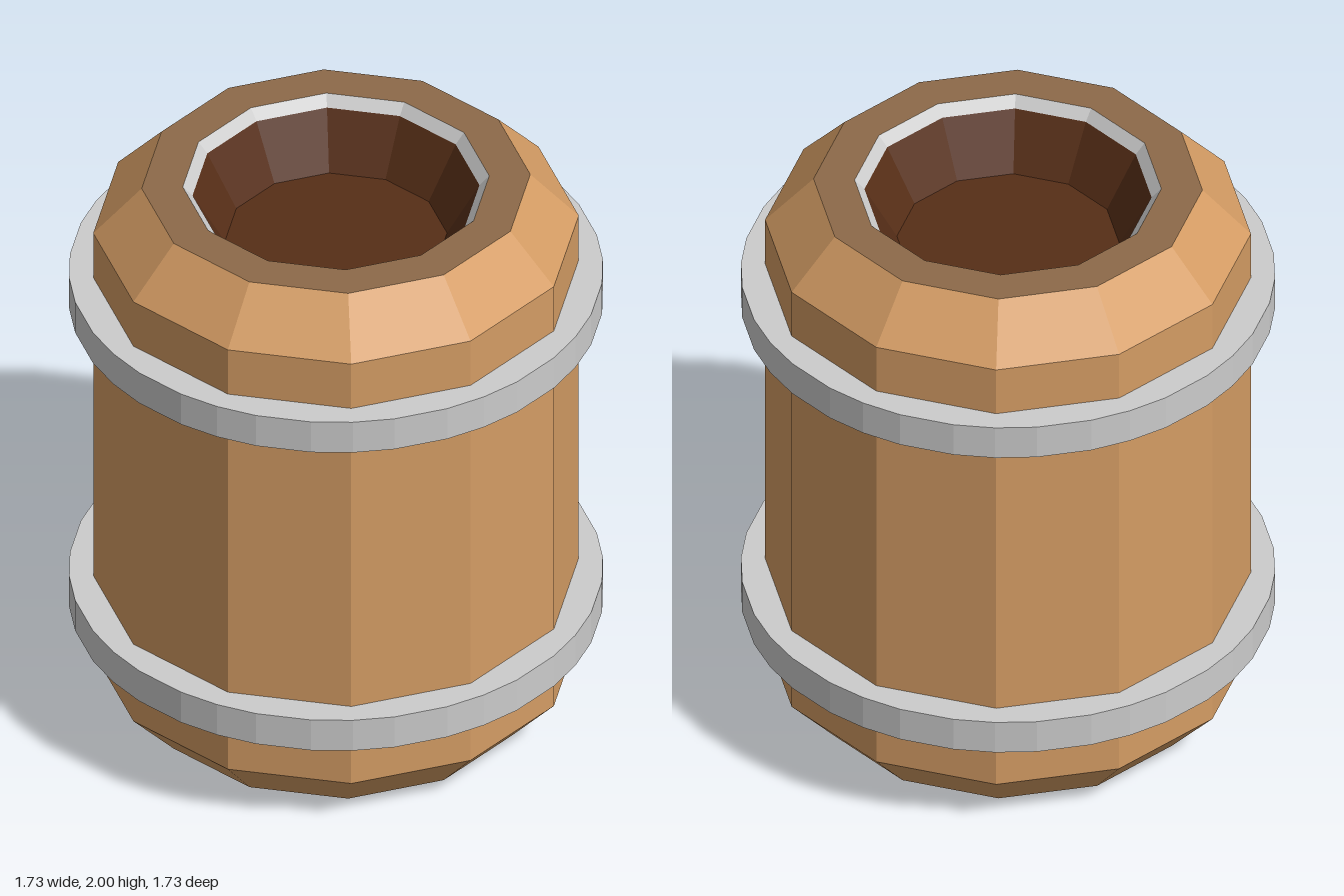
import * as THREE from 'three';

const SIDES = 12;
const mat = (color) => new THREE.MeshStandardMaterial({ color, flatShading: true });

// Revolve a profile of [radius, height] pairs into a faceted part
function lathe(name, profile, material) {
  const points = profile.map(([r, y]) => new THREE.Vector2(r, y));
  const mesh = new THREE.Mesh(new THREE.LatheGeometry(points, SIDES), material);
  mesh.name = name;
  return mesh;
}

// Hoop: twelve-sided band with softened corners, hollow in the middle
function hoopGeometry(radius, inner, height) {
  const at = (deg, r) => {
    const a = THREE.MathUtils.degToRad(deg);
    return new THREE.Vector2(r * Math.cos(a), r * Math.sin(a));
  };
  const outline = [];
  const hole = [];
  for (let i = 0; i < SIDES; i++) {
    for (const offset of [-9, 0, 9]) outline.push(at(i * 30 + offset, radius));
    hole.push(at(i * 30, inner));
  }
  const shape = new THREE.Shape(outline);
  shape.holes.push(new THREE.Path(hole));
  const geometry = new THREE.ExtrudeGeometry(shape, { depth: height, bevelEnabled: false });
  return geometry.rotateX(-Math.PI / 2);
}

export function createModel() {
  const group = new THREE.Group();
  group.name = 'barrel';
  const wood = mat(0xd49c64);
  const rimWood = mat(0x8d6a49);
  const darkWood = mat(0x562e17);
  const metal = mat(0xcccccc);

  // Outer staves with chamfered ends and a closed bottom
  group.add(lathe('body', [[0, 0], [0.63, 0], [0.787, 0.17], [0.787, 1.83], [0.63, 2]], wood));
  // Flat top rim, metal lip and hollow interior
  group.add(lathe('topRim', [[0.63, 2], [0.497, 2]], rimWood));
  group.add(lathe('openingLip', [[0.497, 2], [0.465, 1.965]], metal));
  group.add(lathe('interior', [[0.465, 1.965], [0.36, 1.78], [0, 1.78]], darkWood));

  // Two metal hoops
  const hoop = hoopGeometry(0.865, 0.74, 0.12);
  [['lowerHoop', 0.355], ['upperHoop', 1.535]].forEach(([name, y]) => {
    const mesh = new THREE.Mesh(hoop, metal);
    mesh.name = name;
    mesh.position.y = y;
    group.add(mesh);
  });
  return group;
}
